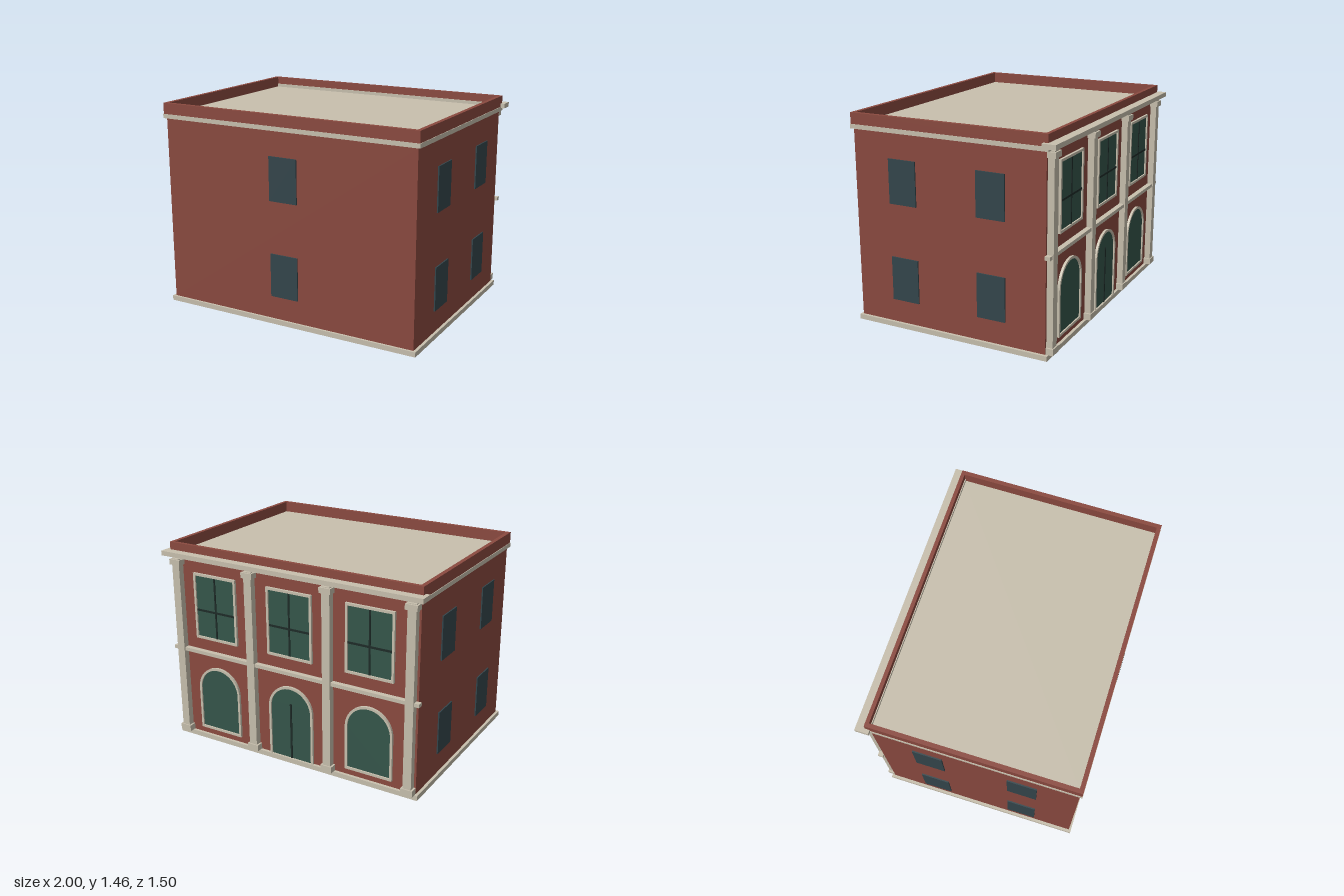
import * as THREE from 'three';

const mat = (name, color) => {
  const m = new THREE.MeshStandardMaterial({ color });
  m.name = name;
  return m;
};

export function createModel() {
  const brick = mat('brick red', 0x8b4a40);
  const stone = mat('pale stone', 0xc8c0ae);
  const slate = mat('slate glass', 0x34464c);
  const green = mat('green glass', 0x35564b);
  const dark = mat('dark bars', 0x1e2b28);

  const model = new THREE.Group();
  model.name = 'townBuilding';

  const add = (name, geometry, material) => {
    const mesh = new THREE.Mesh(geometry, material);
    mesh.name = name;
    model.add(mesh);
    return mesh;
  };
  // Box given by its lower and upper limits on each axis
  const box = (name, material, x0, x1, y0, y1, z0, z1) =>
    add(name, new THREE.BoxGeometry(x1 - x0, y1 - y0, z1 - z0), material)
      .position.set((x0 + x1) / 2, (y0 + y1) / 2, (z0 + z1) / 2);

  // Walls, plinth and roof slab
  box('walls', brick, -0.955, 0.955, 0.035, 1.355, -0.673, 0.732);
  box('plinth', stone, -0.975, 0.975, 0, 0.035, -0.694, 0.748);
  box('roofSlab', stone, -0.975, 0.975, 1.355, 1.385, -0.694, 0.748);

  // Parapet around the roof
  const ring = (w, z0, z1, Type) => new Type([
    new THREE.Vector2(-w, -z1), new THREE.Vector2(w, -z1),
    new THREE.Vector2(w, -z0), new THREE.Vector2(-w, -z0),
  ]);
  const parapetShape = ring(0.971, -0.69, 0.745, THREE.Shape);
  parapetShape.holes.push(ring(0.942, -0.664, 0.716, THREE.Path));
  const parapet = add('parapet',
    new THREE.ExtrudeGeometry(parapetShape, { depth: 0.077, bevelEnabled: false }), brick);
  parapet.rotation.x = -Math.PI / 2;
  parapet.position.y = 1.385;

  // Plain windows standing just off the side and +z walls
  for (const y of [0.205, 0.88]) {
    box('plainWindow', slate, -0.106, 0.104, y, y + 0.305, 0.743, 0.752);
    for (const s of [-1, 1]) {
      for (const z of [0.354, -0.296]) {
        box('sideWindow', slate, s * 0.973 - 0.0045, s * 0.973 + 0.0045,
          y, y + 0.305, z - 0.102, z + 0.102);
      }
    }
  }

  // Ornamental facade on the -z wall: cornice, string course and pilasters
  box('cornice', stone, -1, 1, 1.375, 1.408, -0.752, -0.658);
  box('stringCourse', stone, -0.975, 0.975, 0.675, 0.7, -0.71, -0.672);
  for (const x of [-0.91, -0.303, 0.303, 0.91]) {
    box('pilaster', stone, x - 0.03, x + 0.03, 0.035, 1.355, -0.718, -0.67);
    box('pilasterBase', stone, x - 0.043, x + 0.043, 0.035, 0.08, -0.726, -0.67);
    box('pilasterCapital', stone, x - 0.043, x + 0.043, 1.312, 1.35, -0.73, -0.67);
  }

  // Outline of an opening, square or with a round head
  const outline = (Type, w, y0, y1, arched) => {
    const p = new Type();
    p.moveTo(-w, y0);
    p.lineTo(w, y0);
    if (arched) p.absarc(0, y1 - w, w, 0, Math.PI, false);
    else p.lineTo(w, y1).lineTo(-w, y1);
    p.closePath();
    return p;
  };
  // Stone surround with a glass panel set inside it
  const opening = (name, x, y0, y1, arched, sill) => {
    const t = 0.017, w = 0.16;
    const frame = outline(THREE.Shape, w + t, y0 - sill, y1 + t, arched);
    frame.holes.push(outline(THREE.Path, w, y0 + (sill ? 0 : 0.001), y1, arched));
    const make = (part, shape, depth, material) => {
      const g = new THREE.ExtrudeGeometry(shape, { depth, bevelEnabled: false, curveSegments: 12 });
      add(name + part, g, material).position.set(x, 0, -0.672 - depth);
    };
    make('Frame', frame, 0.018, stone);
    make('Glass', outline(THREE.Shape, w, y0, y1, arched), 0.008, green);
  };

  for (const x of [-0.607, 0, 0.607]) {
    // Upper windows with a mullion and a transom
    opening('upperWindow', x, 0.805, 1.25, false, 0.017);
    box('mullion', dark, x - 0.006, x + 0.006, 0.805, 1.25, -0.685, -0.678);
    box('transom', dark, x - 0.16, x + 0.16, 0.992, 1.006, -0.685, -0.678);
    // Arched ground floor, with the door in the middle
    if (x) opening('archedWindow', x, 0.1, 0.563, true, 0.017);
    else opening('door', x, 0.035, 0.563, true, 0);
  }
  box('doorSeam', dark, -0.007, 0.007, 0.035, 0.45, -0.685, -0.678);

  return model;
}
